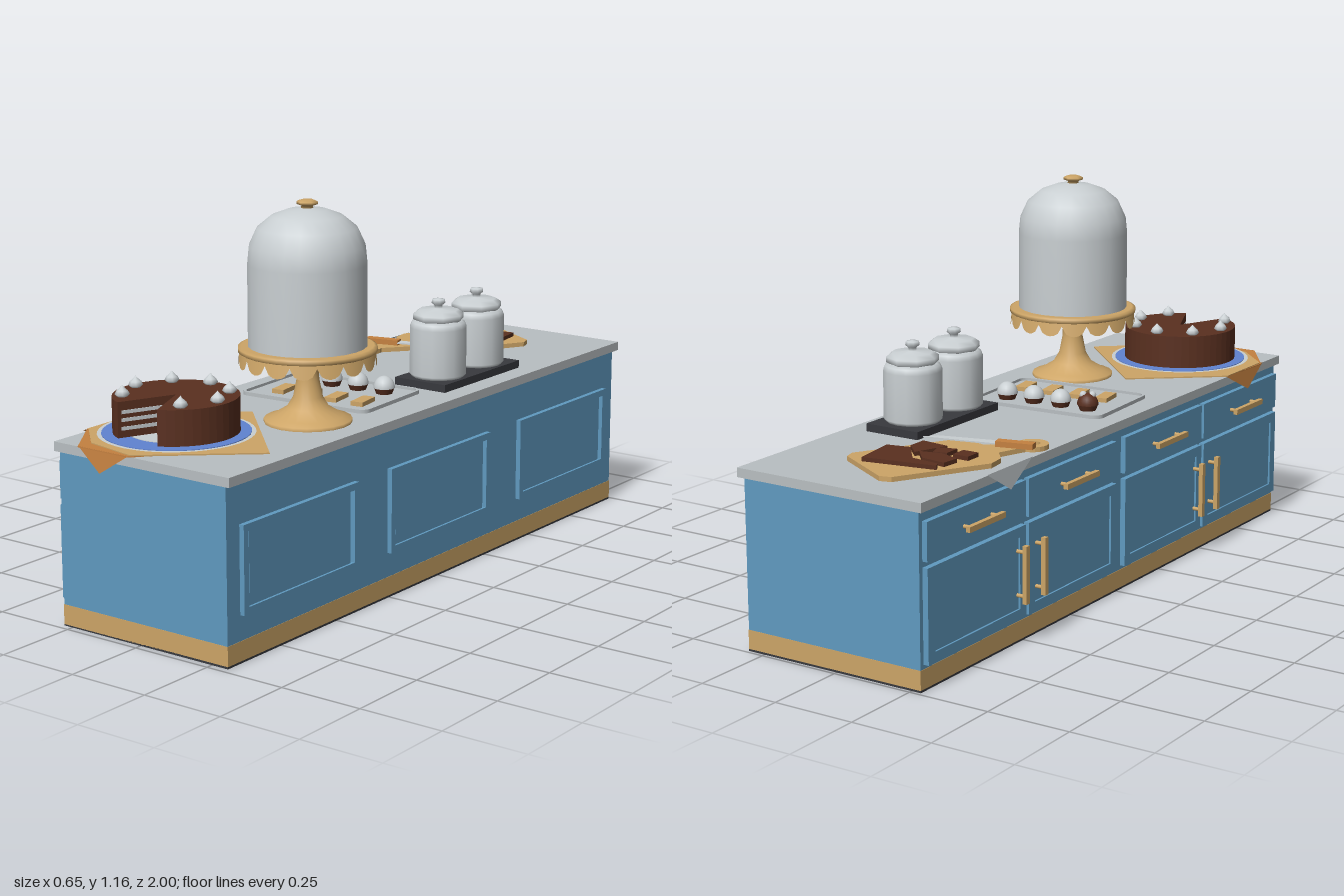
import * as THREE from 'three';

const paint = (name, color) => new THREE.MeshStandardMaterial({ name, color });

export function createModel() {
  const root = new THREE.Group();
  const blue = paint('cabinetBlue', 0x609ac0);
  const gold = paint('lightWood', 0xcda567);
  const stone = paint('greyStone', 0xb9bfc2);
  const pale = paint('paleGrey', 0xc9cfd2);
  const brown = paint('chocolate', 0x5a3020);
  const dark = paint('darkSlate', 0x38393e);
  const orange = paint('orangeBrown', 0xc58140);
  const plateBlue = paint('plateBlue', 0x6083d2);
  for (const m of [pale, gold, orange, stone]) m.side = THREE.DoubleSide;

  const add = (name, geo, mat, x = 0, y = 0, z = 0, parent = root) => {
    const mesh = new THREE.Mesh(geo, mat);
    mesh.name = name;
    mesh.position.set(x, y, z);
    parent.add(mesh);
    return mesh;
  };
  // Box given by its low and high corners
  const block = (name, mat, x0, x1, y0, y1, z0, z1, parent) =>
    add(name, new THREE.BoxGeometry(x1 - x0, y1 - y0, z1 - z0), mat,
      (x0 + x1) / 2, (y0 + y1) / 2, (z0 + z1) / 2, parent);
  const group = (name, x = 0, y = 0, z = 0) => {
    const g = new THREE.Group();
    g.name = name;
    g.position.set(x, y, z);
    root.add(g);
    return g;
  };
  const shapeXZ = (pts) => new THREE.Shape(pts.map(([x, z]) => new THREE.Vector2(x, -z)));
  const lift = (shape, h) =>
    new THREE.ExtrudeGeometry(shape, { depth: h, bevelEnabled: false, curveSegments: 10 }).rotateX(-Math.PI / 2);
  // Horizontal slab from an [x, z] outline
  const slab = (name, pts, h, mat, x, y, z, parent) => add(name, lift(shapeXZ(pts), h), mat, x, y, z, parent);
  const lathe = (name, pts, n, mat, x, y, z, parent) =>
    add(name, new THREE.LatheGeometry(pts.map(([r, h]) => new THREE.Vector2(r, h)), n), mat, x, y, z, parent);
  const rect = (P, w, h) => {
    const p = new P();
    p.moveTo(-w / 2, -h / 2);
    p.lineTo(w / 2, -h / 2);
    p.lineTo(w / 2, h / 2);
    p.lineTo(-w / 2, h / 2);
    p.closePath();
    return p;
  };
  const frame = (w, h, t, depth) => {
    const s = rect(THREE.Shape, w, h);
    s.holes.push(rect(THREE.Path, w - 2 * t, h - 2 * t));
    return new THREE.ExtrudeGeometry(s, { depth, bevelEnabled: false });
  };

  // Cabinet
  block('underside', dark, -0.28, 0.305, 0, 0.006, -0.99, 0.98);
  block('plinth', gold, -0.28, 0.305, 0.004, 0.062, -0.99, 0.98);
  block('cabinetBody', blue, -0.279, 0.304, 0.062, 0.5, -0.989, 0.979);
  block('countertop', stone, -0.295, 0.32, 0.5, 0.527, -1, 0.985);

  // Moulded panels on the long plain side
  for (const z of [0.67, 0.003, -0.675]) {
    add('panelMoulding', frame(0.51, 0.25, 0.02, 0.015), blue, 0.304, 0.26, z).rotation.y = Math.PI / 2;
    block('panelField', blue, 0.304, 0.312, 0.155, 0.365, z - 0.225, z + 0.225);
  }

  // Drawers and doors with bar pulls
  const pull = (name, y, z, len, vertical) => {
    const g = group(name, -0.295, y, z);
    const bar = new THREE.BoxGeometry(0.014, len, 0.016);
    add('bar', bar, gold, -0.027, 0, 0, g);
    for (const s of [-1, 1]) {
      const post = new THREE.CylinderGeometry(0.006, 0.006, 0.03, 8).rotateZ(Math.PI / 2);
      add('post', post, gold, -0.013, s * len * 0.38, 0, g);
    }
    if (!vertical) g.rotation.x = Math.PI / 2;
  };
  const columns = [[-0.975, -0.51, 1], [-0.495, -0.03, -1], [0.02, 0.475, 1], [0.49, 0.965, -1]];
  for (const [z0, z1, side] of columns) {
    const mid = (z0 + z1) / 2;
    block('drawerFront', blue, -0.295, -0.278, 0.36, 0.47, z0, z1);
    block('door', blue, -0.29, -0.278, 0.075, 0.343, z0, z1);
    add('doorFrame', frame(z1 - z0, 0.268, 0.03, 0.006), blue, -0.29, 0.209, mid).rotation.y = -Math.PI / 2;
    pull('drawerPull', 0.415, mid, 0.17, false);
    pull('doorPull', 0.212, side > 0 ? z1 - 0.04 : z0 + 0.04, 0.168, true);
  }

  // Cake stand with scalloped skirt and dome
  const stand = group('cakeStand', 0.13, 0, 0.4);
  lathe('standFoot', [[0.125, 0.527], [0.125, 0.537], [0.1, 0.545], [0.06, 0.57], [0.042, 0.6],
    [0.032, 0.65], [0.03, 0.69], [0.045, 0.725], [0.06, 0.73]], 20, gold, 0, 0, 0, stand);
  lathe('standPlate', [[0, 0.728], [0.188, 0.728], [0.196, 0.733], [0.196, 0.744], [0.186, 0.748], [0, 0.745]],
    32, gold, 0, 0, 0, stand);
  const skirt = new THREE.CylinderGeometry(0.19, 0.194, 0.02, 96, 1, true);
  const sp = skirt.attributes.position;
  for (let i = 0; i < sp.count; i++) {
    if (sp.getY(i) < 0) {
      const a = Math.atan2(sp.getX(i), sp.getZ(i));
      sp.setY(i, -0.008 - 0.032 * Math.sqrt(Math.abs(Math.sin(a * 8))));
    }
  }
  add('scallopedSkirt', skirt, gold, 0, 0.73, 0, stand);
  lathe('dome', [[0.168, 0.746], [0.168, 0.98], [0.163, 1.03], [0.14, 1.08], [0.1, 1.113], [0.055, 1.13], [0, 1.136]],
    24, pale, 0, 0, 0, stand);
  lathe('domeKnob', [[0.018, 1.13], [0.016, 1.14], [0.03, 1.145], [0.03, 1.152], [0.02, 1.157], [0, 1.157]],
    6, gold, 0, 0, 0, stand);

  // Canisters on a slate tray
  block('canisterTray', dark, 0.075, 0.255, 0.527, 0.55, -0.505, -0.1);
  for (const z of [-0.4, -0.195]) {
    lathe('canister', [[0, 0.55], [0.078, 0.55], [0.086, 0.56], [0.086, 0.7], [0.08, 0.715], [0.068, 0.722], [0, 0.722]],
      16, pale, 0.165, 0, z);
    lathe('canisterLid', [[0.068, 0.72], [0.077, 0.725], [0.077, 0.74], [0.06, 0.752], [0.012, 0.756],
      [0.012, 0.765], [0.021, 0.772], [0.019, 0.783], [0, 0.786]], 8, pale, 0.165, 0, z);
  }

  // Cloth under the cake, with corners hanging over the edges
  slab('clothTop', [[0.265, 0.745], [-0.05, 0.425], [-0.3, 0.63], [-0.3, 0.84], [-0.19, 0.95], [-0.02, 0.985]],
    0.004, gold, 0, 0.529, 0);
  slab('clothUnderlay', [[-0.3, 0.7], [-0.305, 0.84], [-0.2, 0.992], [-0.02, 0.992], [0.06, 0.9]],
    0.003, orange, 0, 0.5275, 0);
  const hang = (name, mat, ...p) => {
    const g = new THREE.BufferGeometry();
    g.setAttribute('position', new THREE.Float32BufferAttribute(p, 3));
    g.computeVertexNormals();
    add(name, g, mat);
  };
  hang('clothFrontCorner', orange, -0.2, 0.531, 0.99, -0.12, 0.467, 0.996, -0.02, 0.531, 0.99);
  hang('clothSideCorner', orange, -0.3, 0.531, 0.62, -0.308, 0.467, 0.75, -0.3, 0.531, 0.86);
  hang('towelCorner', stone, -0.297, 0.53, -0.7, -0.307, 0.467, -0.6, -0.297, 0.53, -0.48);

  // Plate and cake with a slice taken out
  const cake = group('cakeOnPlate', -0.06, 0, 0.745);
  add('plateRim', new THREE.CylinderGeometry(0.219, 0.17, 0.008, 40), pale, 0, 0.537, 0, cake);
  add('plateBand', new THREE.CylinderGeometry(0.207, 0.207, 0.003, 40), plateBlue, 0, 0.5415, 0, cake);
  add('plateCentre', new THREE.CylinderGeometry(0.135, 0.135, 0.003, 40), pale, 0, 0.543, 0, cake);
  const cut = 0.41;
  const outline = [[0, 0]];
  for (let i = 0; i <= 40; i++) {
    const a = cut + (i / 40) * (2 * Math.PI - 2 * cut);
    outline.push([0.176 * Math.sin(a), 0.176 * Math.cos(a)]);
  }
  slab('cake', outline, 0.101, brown, 0, 0.5445, 0, cake);
  for (const s of [-1, 1]) {
    for (const y of [0.57, 0.594, 0.616]) {
      const cream = add('creamLayer', new THREE.BoxGeometry(0.004, 0.01, 0.14), pale,
        0.095 * Math.sin(s * cut), y, 0.095 * Math.cos(cut), cake);
      cream.rotation.y = s * cut;
    }
  }
  for (let i = 1; i < 8; i++) {
    const a = (i * Math.PI) / 4;
    lathe('creamDollop', [[0.014, 0.645], [0.021, 0.652], [0.016, 0.662], [0.007, 0.67], [0, 0.678]],
      8, pale, 0.147 * Math.sin(a), 0, 0.147 * Math.cos(a), cake);
  }

  // Cutting board with ring handle
  const board = group('cuttingBoard', -0.085, 0.529, -0.68);
  board.rotation.y = -Math.PI / 6;
  slab('boardTop', [[-0.11, -0.19], [0.11, -0.19], [0.135, -0.165], [0.135, 0.13], [0.1, 0.175], [0.045, 0.195],
    [0.03, 0.285], [-0.03, 0.285], [-0.045, 0.195], [-0.1, 0.175], [-0.135, 0.13], [-0.135, -0.165]],
    0.014, gold, 0, 0, 0, board);
  const ring = new THREE.Shape().absarc(0, 0, 0.046, 0, Math.PI * 2);
  ring.holes.push(new THREE.Path().absarc(0, 0, 0.022, 0, Math.PI * 2, true));
  add('boardRing', lift(ring, 0.014), gold, 0, 0, 0.322, board);

  // Chocolate pieces
  const pieces = [
    [[-0.18, -0.77], [0.04, -0.81], [0.06, -0.67], [-0.01, -0.655], [-0.08, -0.74], [-0.17, -0.75]],
    [[-0.18, -0.735], [-0.1, -0.725], [-0.055, -0.675], [-0.12, -0.66], [-0.185, -0.68]],
    [[-0.2, -0.65], [-0.15, -0.65], [-0.15, -0.6], [-0.2, -0.6]],
    [[-0.13, -0.65], [-0.09, -0.66], [-0.075, -0.615], [-0.13, -0.6]],
    [[-0.05, -0.69], [0, -0.64], [0, -0.58], [-0.09, -0.59]],
  ];
  for (const p of pieces) slab('chocolatePiece', p, 0.012, brown, 0, 0.543, 0);

  // Knife
  const knife = group('knife', -0.18, 0.545, -0.482);
  knife.rotation.y = 0.24;
  block('knifeHandle', orange, -0.11, 0, 0, 0.016, -0.015, 0.015, knife);
  slab('knifeBlade', [[0, -0.015], [0.215, -0.012], [0.18, 0.012], [0, 0.017]], 0.004, pale, 0, 0.006, 0, knife);

  // Baking tray with sweets
  const tray = group('bakingTray', -0.01, 0.528, 0.105);
  tray.rotation.y = 0.057;
  const rounded = (P, w, h, r) => {
    const p = new P();
    [[1, 1, 0], [-1, 1, 1], [-1, -1, 2], [1, -1, 3]].forEach(([sx, sy, q]) =>
      p.absarc(sx * (w / 2 - r), sy * (h / 2 - r), r, q * Math.PI / 2, (q + 1) * Math.PI / 2));
    return p;
  };
  add('trayFloor', lift(rounded(THREE.Shape, 0.435, 0.31, 0.03), 0.003), stone, 0, 0, 0, tray);
  const rim = rounded(THREE.Shape, 0.44, 0.315, 0.03);
  rim.holes.push(rounded(THREE.Path, 0.424, 0.299, 0.024));
  add('trayRim', lift(rim, 0.011), stone, 0, 0, 0, tray);
  for (let i = 0; i < 4; i++) {
    const x = -0.14 + i * 0.092;
    add('sweetCup', new THREE.CylinderGeometry(0.031, 0.024, 0.018, 16), brown, x, 0.012, -0.077, tray);
    const top = new THREE.SphereGeometry(0.032, 16, 8, 0, Math.PI * 2, 0, Math.PI / 2);
    add('sweetTop', top, i ? pale : brown, x, 0.02, -0.077, tray).scale.y = 1.1;
    if (!i) for (const d of [-0.012, 0.012])
      add('creamDrop', new THREE.SphereGeometry(0.012, 8, 6), pale, x + d, 0.048, -0.077 - d / 2, tray);
    const biscuit = block('biscuit', gold, x - 0.005, x + 0.033, 0.003, 0.016, 0.02, 0.1, tray);
    biscuit.rotation.y = 0.1;
  }
  return root;
}
